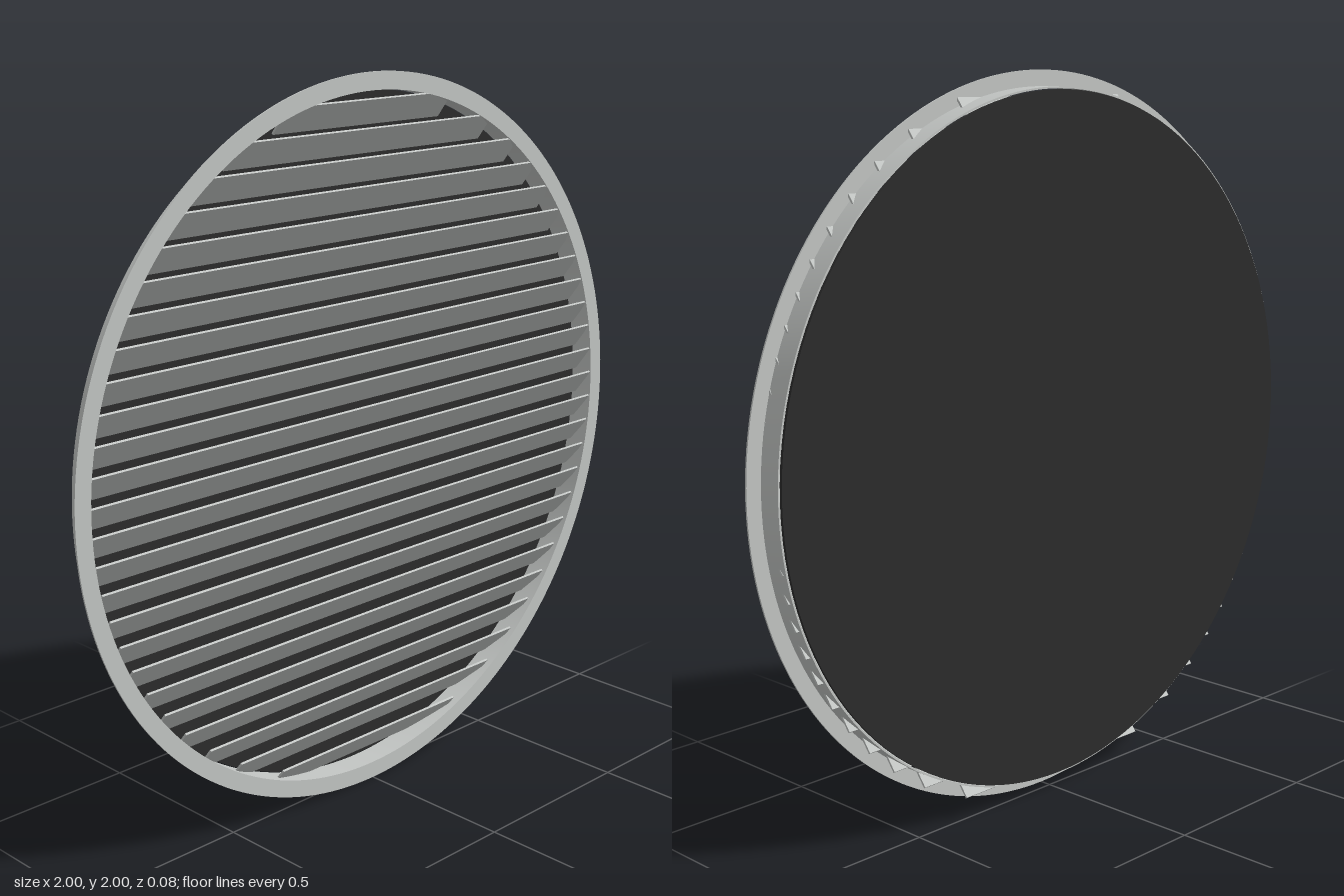
import * as THREE from 'three';
import { toCreasedNormals } from 'three/addons/utils/BufferGeometryUtils.js';

const RADIUS = 1, DUCT_OUTER = 0.957, DUCT_INNER = 0.952;
const SLATS = 25, PITCH = 0.0746, SLAT_DROP = 0.07, SLAT_DEPTH = 0.054, SLAT_THICK = 0.006;

// Flat ring extruded along z, with smooth round walls and sharp rims
function ring(outer, inner, z0, z1) {
  const shape = new THREE.Shape().absarc(0, 0, outer, 0, Math.PI * 2, false);
  shape.holes.push(new THREE.Path().absarc(0, 0, inner, 0, Math.PI * 2, true));
  const g = new THREE.ExtrudeGeometry(shape, { depth: z1 - z0, bevelEnabled: false, curveSegments: 96 });
  return toCreasedNormals(g.translate(0, 0, z0), 0.6);
}

export function createModel() {
  const metal = new THREE.MeshStandardMaterial({ color: 0xc2c5c3 });
  metal.name = 'lightGreyMetal';
  const dark = new THREE.MeshStandardMaterial({ color: 0x2b2b2b });
  dark.name = 'darkBacking';

  const vent = new THREE.Group();
  vent.name = 'roundVent';
  const add = (parent, name, geometry, material) => {
    const mesh = new THREE.Mesh(geometry, material);
    mesh.name = name;
    parent.add(mesh);
    return mesh;
  };

  // Front flange and the short duct behind it
  add(vent, 'flange', ring(RADIUS, DUCT_INNER, 0.033, 0.038), metal);
  add(vent, 'ductCollar', ring(DUCT_OUTER, DUCT_INNER, -0.032, 0.033), metal);

  // Dark disc closing the back
  const disc = new THREE.CylinderGeometry(0.95, 0.95, 0.008, 128).rotateX(Math.PI / 2);
  add(vent, 'backing', disc, dark).position.z = -0.034;

  // Tilted slats, high at the front and low at the back, cut to the chord length
  const louvre = new THREE.Group();
  louvre.name = 'louvre';
  const width = Math.hypot(SLAT_DROP, SLAT_DEPTH);
  const tilt = -Math.atan2(SLAT_DROP, SLAT_DEPTH);
  for (let i = 0; i < SLATS; i++) {
    const y = (i - (SLATS - 1) / 2) * PITCH;
    const half = Math.sqrt(0.9525 ** 2 - (y + 0.0074) ** 2);
    const slat = add(louvre, 'slat', new THREE.BoxGeometry(half * 2, SLAT_THICK, width), metal);
    slat.position.set(0, y, 0.007);
    slat.rotation.x = tilt;
  }
  vent.add(louvre);

  vent.position.y = RADIUS;
  const model = new THREE.Group();
  model.name = 'louvredVent';
  model.add(vent);
  return model;
}
